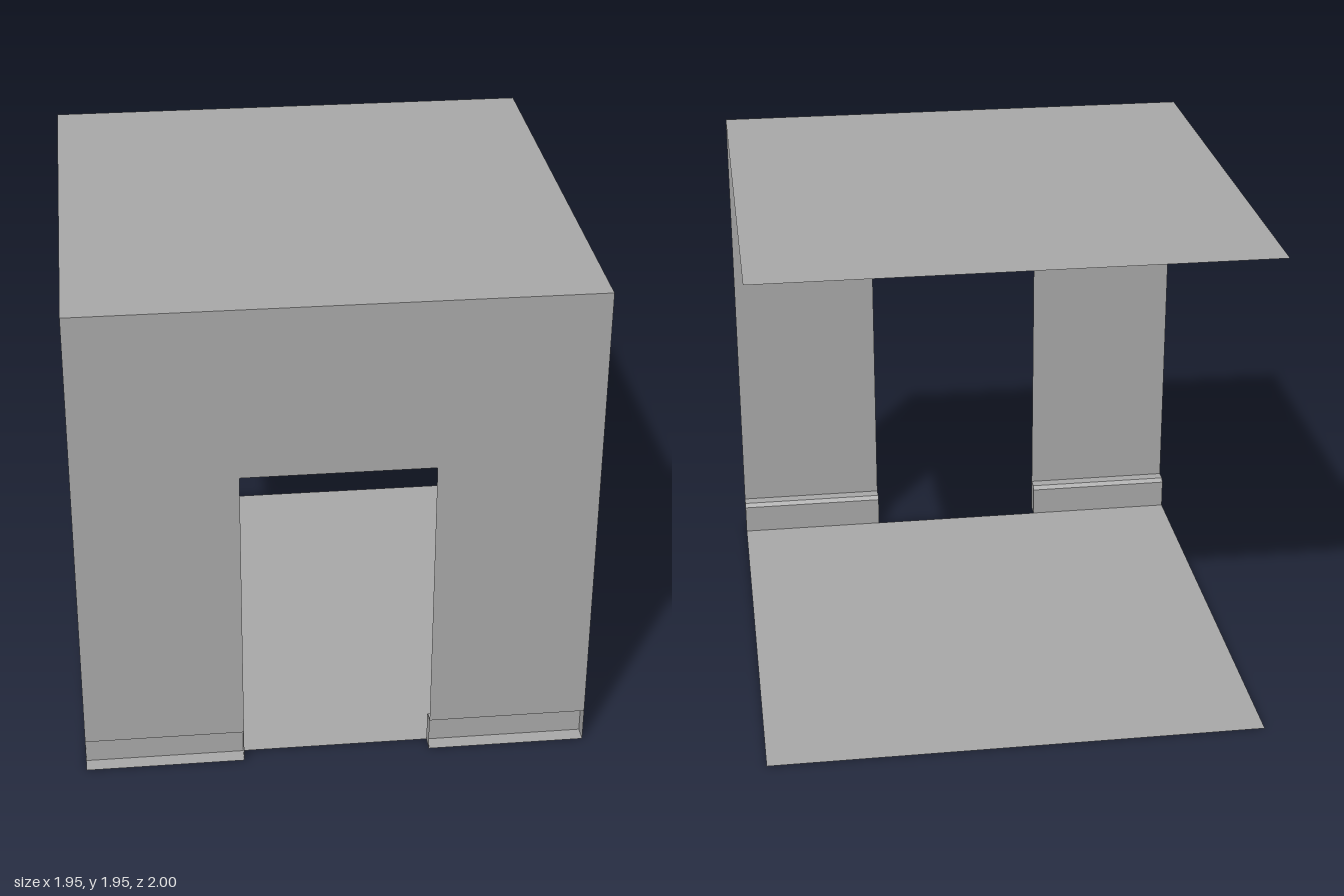
import * as THREE from 'three';

const W = 0.973, H = 1.945;              // half width, ceiling height
const DOOR = 0.362, DOOR_TOP = 1.27;     // half width and head of the opening
const FRONT = 1, BASE_Z = 0.939, BASE_H = 0.135, BEVEL = 0.015;

const grey = new THREE.MeshStandardMaterial({ color: 0xaaaaaa, side: THREE.DoubleSide });
grey.name = 'plain grey';

function sheet(name, points) {
  const shape = new THREE.Shape(points.map(([x, y]) => new THREE.Vector2(x, y)));
  const mesh = new THREE.Mesh(new THREE.ShapeGeometry(shape), grey);
  mesh.name = name;
  return mesh;
}

// Hollow skirting: open at the bottom and at the wall side, with capped ends
function skirting(name, x0, x1) {
  const group = new THREE.Group();
  group.name = name;
  const profile = [
    [FRONT, BASE_H], [BASE_Z + BEVEL, BASE_H], [BASE_Z, BASE_H - BEVEL], [BASE_Z, 0],
  ];
  const pos = [];
  for (let i = 0; i < profile.length - 1; i++) {
    const [za, ya] = profile[i], [zb, yb] = profile[i + 1];
    pos.push(x0, ya, za, x1, ya, za, x1, yb, zb, x0, ya, za, x1, yb, zb, x0, yb, zb);
  }
  const geo = new THREE.BufferGeometry();
  geo.setAttribute('position', new THREE.Float32BufferAttribute(pos, 3));
  geo.computeVertexNormals();
  const face = new THREE.Mesh(geo, grey);
  face.name = 'skirtingFace';
  group.add(face);

  for (const x of [x0, x1]) {
    const cap = sheet('skirtingEnd', [...profile, [FRONT, 0]].map(([z, y]) => [-z, y]));
    cap.rotation.y = Math.PI / 2;
    cap.position.x = x;
    group.add(cap);
  }
  return group;
}

export function createModel() {
  const room = new THREE.Group();
  room.name = 'room';

  // Front wall with a doorway, resting on the skirting
  const wall = sheet('wall', [
    [-W, BASE_H], [-DOOR, BASE_H], [-DOOR, DOOR_TOP], [DOOR, DOOR_TOP],
    [DOOR, BASE_H], [W, BASE_H], [W, H], [-W, H],
  ]);
  wall.position.z = FRONT;

  // Floor, set back across the doorway (shape y becomes -z)
  const floor = sheet('floor', [
    [-W, -FRONT], [-DOOR, -FRONT], [-DOOR, -BASE_Z], [DOOR, -BASE_Z],
    [DOOR, -FRONT], [W, -FRONT], [W, 1], [-W, 1],
  ]);
  floor.rotation.x = -Math.PI / 2;

  // Ceiling, slightly shorter than the floor
  const ceiling = sheet('ceiling', [[-W, -FRONT], [W, -FRONT], [W, 0.95], [-W, 0.95]]);
  ceiling.rotation.x = -Math.PI / 2;
  ceiling.position.y = H;

  room.add(wall, floor, ceiling,
    skirting('rightSkirting', -W, -DOOR),
    skirting('leftSkirting', DOOR, W));
  return room;
}
